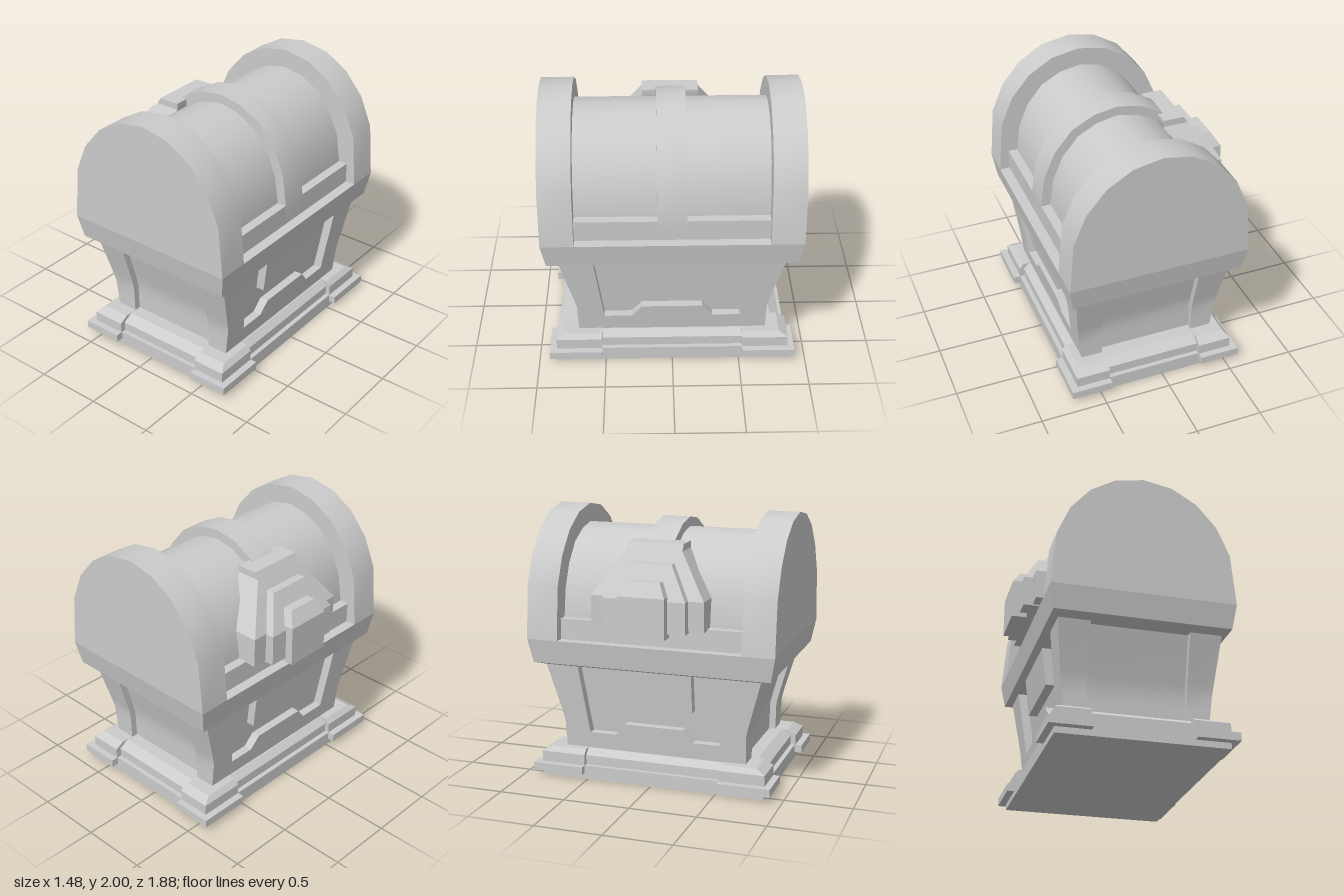
import * as THREE from 'three';
import { toCreasedNormals } from 'three/addons/utils/BufferGeometryUtils.js';

const material = new THREE.MeshStandardMaterial({ color: 0xcccccc });

function add(parent, name, geometry) {
  const mesh = new THREE.Mesh(toCreasedNormals(geometry, 0.5), material);
  mesh.name = name;
  parent.add(mesh);
  return mesh;
}

// Stacked rectangular cross-sections: rows of [y, x0, x1, z0, z1] from bottom to top
function loft(rows) {
  const pos = [], idx = [];
  for (const [y, x0, x1, z0, z1] of rows) pos.push(x0, y, z1, x1, y, z1, x1, y, z0, x0, y, z0);
  for (let r = 0; r < rows.length - 1; r++) {
    for (let i = 0; i < 4; i++) {
      const a = r * 4 + i, b = r * 4 + (i + 1) % 4;
      idx.push(a, b, b + 4, a, b + 4, a + 4);
    }
  }
  const t = (rows.length - 1) * 4;
  idx.push(0, 2, 1, 0, 3, 2, t, t + 1, t + 2, t, t + 2, t + 3);
  const g = new THREE.BufferGeometry();
  g.setAttribute('position', new THREE.Float32BufferAttribute(pos, 3));
  g.setIndex(idx);
  return g;
}

// Symmetric loft from rows of [y, half width, half length]
const block = (rows) => loft(rows.map(([y, w, l]) => [y, -w, w, -l, l]));

// One corner of a symmetric form: rows of [y, xIn, xOut, zIn, zOut]
const corner = (rows, sx, sz) => loft(rows.map(([y, a, b, c, d]) => [
  y, Math.min(a * sx, b * sx), Math.max(a * sx, b * sx), Math.min(c * sz, d * sz), Math.max(c * sz, d * sz)]));

// Closed symmetric outline from its right half, listed bottom to top
function outline(half, Type = THREE.Shape) {
  const left = half.filter(([x]) => x > 0).map(([x, y]) => [-x, y]).reverse();
  return new Type([...half, ...left].map(([x, y]) => new THREE.Vector2(x, y)));
}

function extrude(shape, z0, z1) {
  return new THREE.ExtrudeGeometry(shape, { depth: z1 - z0, bevelEnabled: false }).translate(0, 0, z0);
}

// Body half width, and body half length at each height
const bodyWidth = (y) => 0.52 + (y - 0.23) * 0.117;
const bodyLength = [[0.2, 0.7], [0.32, 0.703], [0.43, 0.705], [0.52, 0.727], [0.87, 0.825]];

const outerArch = [[0.675, 1.065], [0.64, 1.46], [0.545, 1.68], [0.4, 1.85], [0.215, 1.96], [0, 2]];
const innerArch = [[0.5275, 1.065], [0.5275, 1.22], [0.4975, 1.43], [0.4225, 1.605], [0.3025, 1.75], [0.1525, 1.83], [0, 1.86]];
const strapArch = [[0.5975, 1.065], [0.5975, 1.23], [0.565, 1.455], [0.48, 1.65], [0.345, 1.81], [0.175, 1.9], [0, 1.93]];

function makeBase() {
  const base = new THREE.Group();
  base.name = 'base';
  add(base, 'plinth', block([[0, 0.615, 0.86], [0.105, 0.615, 0.86]]));
  add(base, 'upperStep', block([[0.1, 0.58, 0.825], [0.175, 0.58, 0.825], [0.22, 0.53, 0.75]]));
  for (const sx of [-1, 1]) for (const sz of [-1, 1]) {
    add(base, 'cornerPlate', corner([[0.045, 0.36, 0.667, 0.525, 0.917], [0.105, 0.36, 0.667, 0.525, 0.917]], sx, sz));
    add(base, 'cornerStep', corner([[0.1, 0.36, 0.615, 0.525, 0.867], [0.185, 0.36, 0.615, 0.525, 0.867],
      [0.222, 0.36, 0.58, 0.525, 0.8]], sx, sz));
  }
  return base;
}

function makeBody() {
  const body = new THREE.Group();
  body.name = 'body';
  add(body, 'recessedWalls', block(bodyLength.map(([y, l]) => [y, bodyWidth(y) - 0.065, l - 0.05])));

  // Corner posts framing the end walls
  for (const sx of [-1, 1]) for (const sz of [-1, 1]) {
    add(body, 'cornerPost', corner(bodyLength.map(([y, l]) => [y, 0.36, bodyWidth(y) - 0.01, l - 0.12, l]), sx, sz));
  }

  // Side frames with a stepped opening, leaning out with the walls
  const right = [...bodyLength.map(([y, l]) => [l, y]), [0.575, 0.87], [0.505, 0.345], [0.3, 0.345], [0.225, 0.437]];
  const frame = extrude(outline(right), -0.08, 0);
  const p = frame.attributes.position;
  for (let i = 0; i < p.count; i++) p.setZ(i, p.getZ(i) + bodyWidth(p.getY(i)));
  for (const s of [-1, 1]) {
    add(body, 'sideFrame', frame.clone().rotateY(s * Math.PI / 2));
    add(body, 'sideBlock', corner([[0.58, 0.3, bodyWidth(0.58), -0.305, 0.305],
      [0.87, 0.3, bodyWidth(0.87), -0.305, 0.305]], s, 1));
  }
  return body;
}

function makeLid() {
  const lid = new THREE.Group();
  lid.name = 'lid';
  add(lid, 'lowerRim', block([[0.865, 0.595, 0.825], [0.885, 0.645, 0.905], [1.065, 0.675, 0.94]]));
  add(lid, 'barrel', extrude(outline(innerArch), -0.74, 0.74));
  add(lid, 'centreStrap', extrude(outline(strapArch), -0.105, 0.105));
  add(lid, 'sideRails', block([[1.06, 0.5975, 0.705], [1.22, 0.5975, 0.705]]));

  // Arched end rims, open in the middle to show the recessed end wall
  const ring = outline([...outerArch]);
  const arch = [...outerArch, ...outerArch.slice(0, -1).reverse().map(([x, y]) => [-x, y])];
  const inner = [...innerArch, ...innerArch.slice(0, -1).reverse().map(([x, y]) => [-x, y])];
  ring.setFromPoints([...arch, ...inner.reverse()].map(([x, y]) => new THREE.Vector2(x, y)));
  for (const z of [-0.94, 0.7]) add(lid, 'endRim', extrude(ring, z, z + 0.24));
  return lid;
}

// Three stacked plates, each narrowing as it leans back over the lid
function makeClasp() {
  const clasp = new THREE.Group();
  clasp.name = 'clasp';
  const plate = (name, rows) => add(clasp, name, loft(rows.map(([y, x0, x1, w]) => [y, x0, x1, -w, w])));
  plate('backPlate', [[1.21, -0.61, -0.4, 0.425], [1.43, -0.615, -0.4, 0.425], [1.75, -0.44, -0.25, 0.21], [1.8, -0.41, -0.25, 0.21]]);
  plate('middlePlate', [[1.2, -0.68, -0.55, 0.31], [1.43, -0.68, -0.55, 0.31], [1.67, -0.545, -0.42, 0.165]]);
  plate('frontPlate', [[1.165, -0.74, -0.63, 0.175], [1.46, -0.738, -0.6, 0.175], [1.56, -0.675, -0.56, 0.12]]);
  return clasp;
}

export function createModel() {
  const model = new THREE.Group();
  model.name = 'chest';
  const shell = new THREE.Group();
  shell.name = 'shell';
  shell.add(makeBase(), makeBody(), makeLid());
  shell.position.x = 0.0625;
  model.add(shell, makeClasp());
  return model;
}
